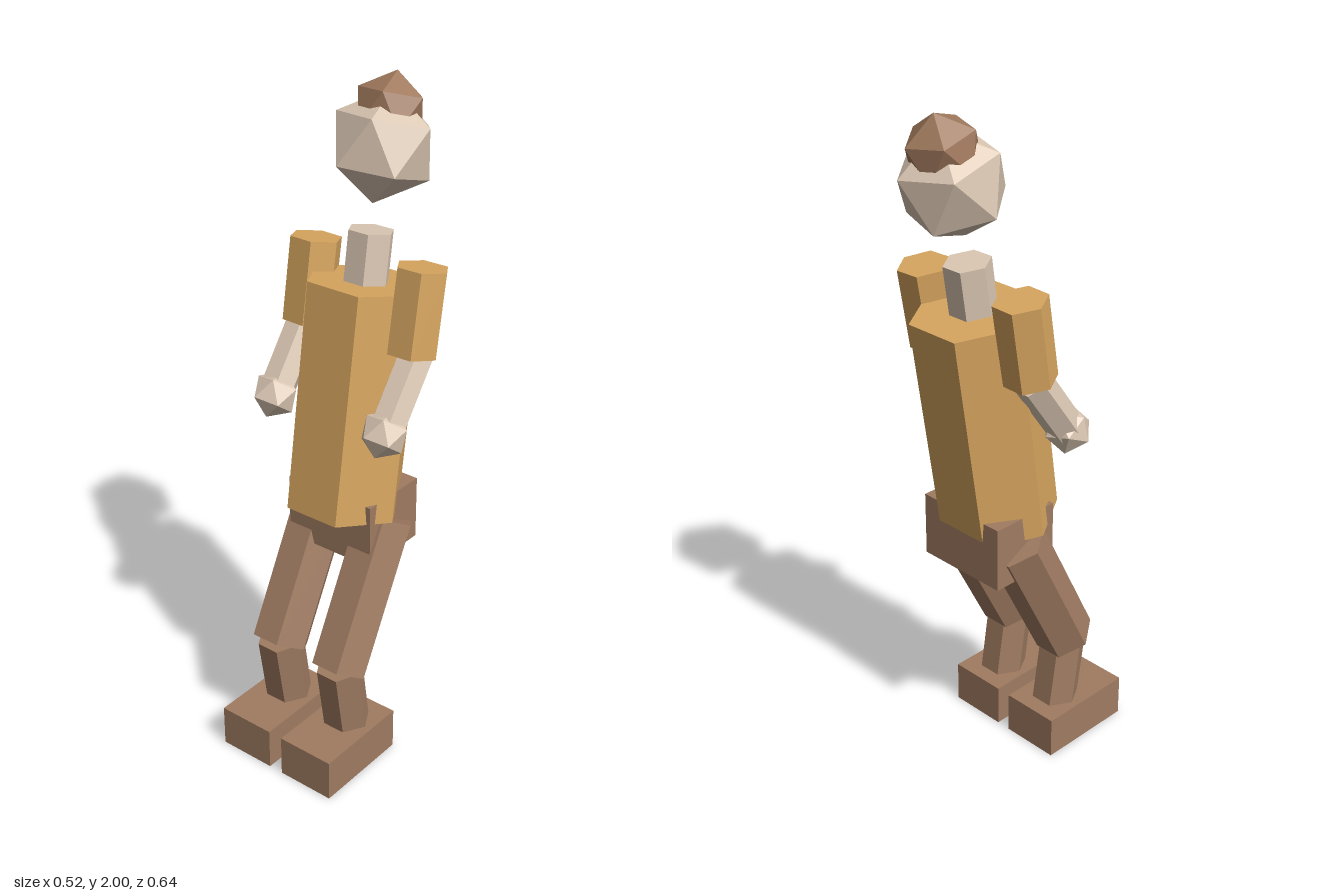
import * as THREE from 'three';

const mat = (name, color) => Object.assign(new THREE.MeshStandardMaterial({ color }), { name });

// Faceted six-sided prism running between two points [x, y, z], flat side to the front
function hexPrism(name, material, radius, top, bottom, yaw = 0) {
  const a = new THREE.Vector3(...top), b = new THREE.Vector3(...bottom);
  const axis = a.clone().sub(b);
  const indexed = new THREE.CylinderGeometry(radius, radius, axis.length(), 6);
  indexed.rotateY(Math.PI / 6 + yaw);
  const geometry = indexed.toNonIndexed();
  geometry.computeVertexNormals();
  const mesh = new THREE.Mesh(geometry, material);
  mesh.name = name;
  mesh.position.copy(a).add(b).multiplyScalar(0.5);
  mesh.quaternion.setFromUnitVectors(new THREE.Vector3(0, 1, 0), axis.normalize());
  return mesh;
}

// Twenty-faced ball with its poles on the y axis, tilted about x
function facetBall(name, material, radius, position, tilt) {
  const pole = new THREE.Vector3(0, -1, 0);
  const ring = new THREE.Vector3(-0.2764, -0.4472, 0.8506);
  const z = pole.clone().add(ring).normalize();
  const y = pole.clone().sub(ring).normalize();
  const x = y.clone().cross(z);
  const geometry = new THREE.IcosahedronGeometry(radius, 0);
  geometry.applyMatrix4(new THREE.Matrix4().makeBasis(x, y, z));
  const mesh = new THREE.Mesh(geometry, material);
  mesh.name = name;
  mesh.position.set(...position);
  mesh.rotation.x = tilt;
  return mesh;
}

function box(name, material, size, position) {
  const mesh = new THREE.Mesh(new THREE.BoxGeometry(...size), material);
  mesh.name = name;
  mesh.position.set(...position);
  return mesh;
}

export function createModel() {
  const shirt = mat('mustard shirt', 0xd8a660);
  const skin = mat('pale skin', 0xdcc8b4);
  const brown = mat('brown trousers', 0xa07c62);
  const hair = mat('brown hair', 0xa0795d);

  const model = new THREE.Group();
  model.name = 'figure';

  // Trunk, leaning back
  model.add(
    box('pelvis', brown, [0.296, 0.195, 0.222], [0, 0.748, -0.05]),
    hexPrism('torso', shirt, 0.175, [0, 1.443, -0.107], [0, 0.778, -0.007]),
    hexPrism('neck', skin, 0.067, [0, 1.585, -0.125], [0, 1.4, -0.097]),
  );

  // Floating head with a bun of hair
  model.add(
    facetBall('head', skin, 0.155, [0, 1.807, -0.173], -0.285),
    facetBall('hairBun', hair, 0.106, [0, 1.896, -0.203], -0.285),
  );

  // Paired limbs
  for (const [side, s] of [['left', 1], ['right', -1]]) {
    const arm = new THREE.Group();
    arm.name = side + 'Arm';
    arm.add(
      hexPrism('upperArm', shirt, 0.076, [s * 0.183, 1.526, -0.113], [s * 0.183, 1.288, -0.073], s * 0.045),
      hexPrism('forearm', skin, 0.053, [s * 0.195, 1.295, -0.082], [s * 0.195, 1.1, 0.06], s * 0.045),
      facetBall('hand', skin, 0.07, [s * 0.194, 1.1, 0.063], -0.63),
    );

    const leg = new THREE.Group();
    leg.name = side + 'Leg';
    leg.add(
      hexPrism('thigh', brown, 0.09, [s * 0.113, 0.754, -0.058], [s * 0.113, 0.337, 0.157]),
      hexPrism('shin', brown, 0.071, [s * 0.113, 0.345, 0.156], [s * 0.113, 0.1, 0.118]),
      box('foot', brown, [0.182, 0.13, 0.31], [s * 0.114, 0.065, 0.165]),
    );
    model.add(arm, leg);
  }

  return model;
}
